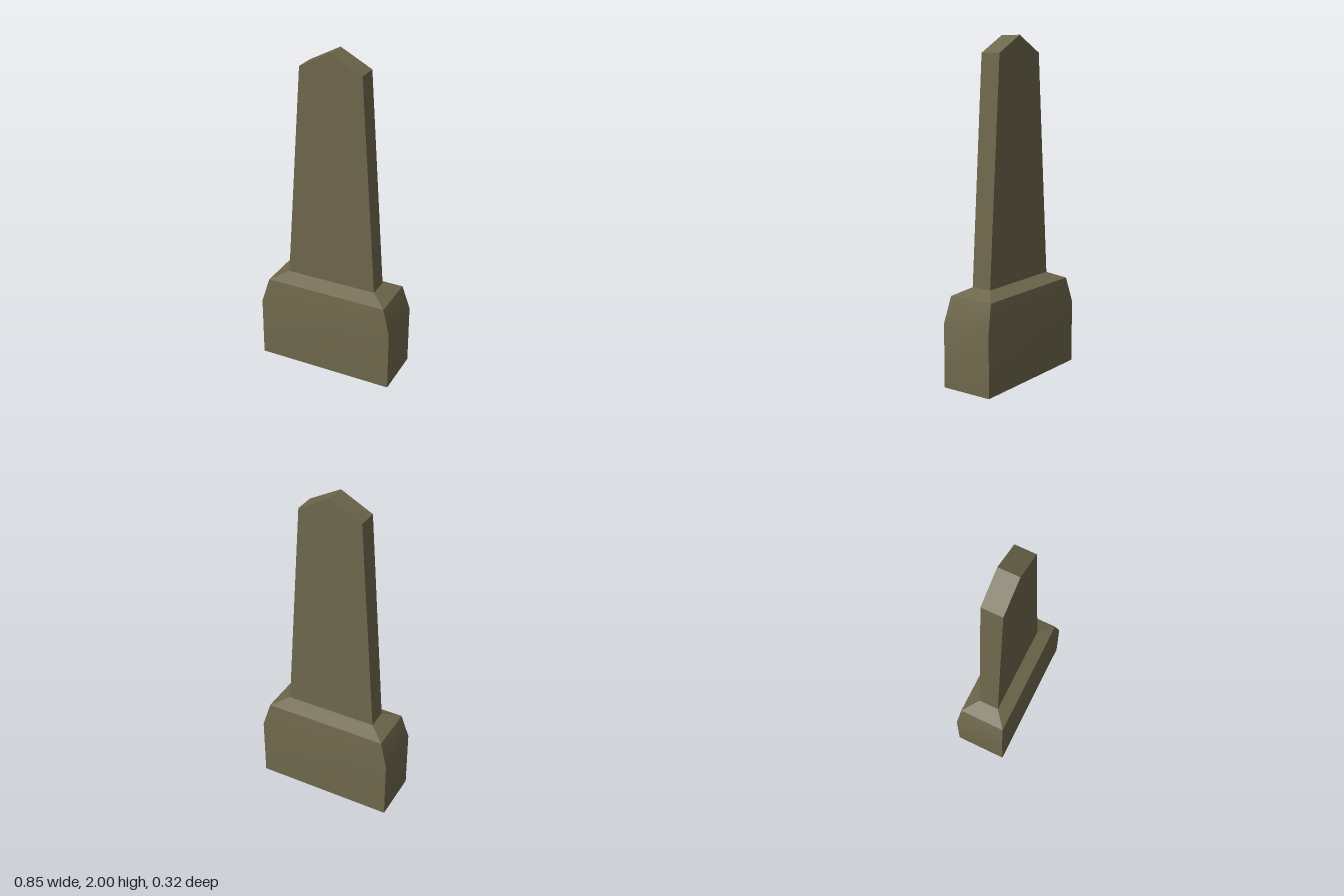
import * as THREE from 'three';
import { toCreasedNormals } from 'three/addons/utils/BufferGeometryUtils.js';

// Skin a stack of rectangular cross-sections [halfX, halfZ, y], open at both ends
function loftRects(rings) {
  const corners = [[1, 1], [1, -1], [-1, -1], [-1, 1]];
  const point = (ring, k) => {
    const [sx, sz] = corners[k % 4];
    return new THREE.Vector3(sx * ring[0], ring[2], sz * ring[1]);
  };
  const points = [];
  for (let i = 0; i < rings.length - 1; i++) {
    for (let k = 0; k < 4; k++) {
      const a = point(rings[i], k), b = point(rings[i], k + 1);
      const c = point(rings[i + 1], k + 1), d = point(rings[i + 1], k);
      points.push(a, b, c);
      if (c.distanceTo(d) > 1e-6) points.push(a, c, d); // gable ends are triangles
    }
  }
  const geometry = new THREE.BufferGeometry().setFromPoints(points);
  geometry.computeVertexNormals();
  return toCreasedNormals(geometry, 0.35);
}

export function createModel() {
  const stone = new THREE.MeshStandardMaterial({ color: 0x6e674c, side: THREE.DoubleSide });
  stone.name = 'weathered stone';
  const group = new THREE.Group();
  group.name = 'stoneMarker';

  const addPart = (name, rings) => {
    const mesh = new THREE.Mesh(loftRects(rings), stone);
    mesh.name = name;
    group.add(mesh);
  };

  // Hollow plinth with bevelled shoulders
  addPart('plinth', [
    [0.425, 0.16, 0],
    [0.425, 0.16, 0.38],
    [0.38, 0.143, 0.535],
    [0.283, 0.0625, 0.578],
  ]);

  // Tapering slab, closing to a ridge at the top
  addPart('slab', [
    [0.283, 0.0625, 0.578],
    [0.19, 0.0625, 1.9],
    [0, 0.0625, 2],
  ]);

  return group;
}
